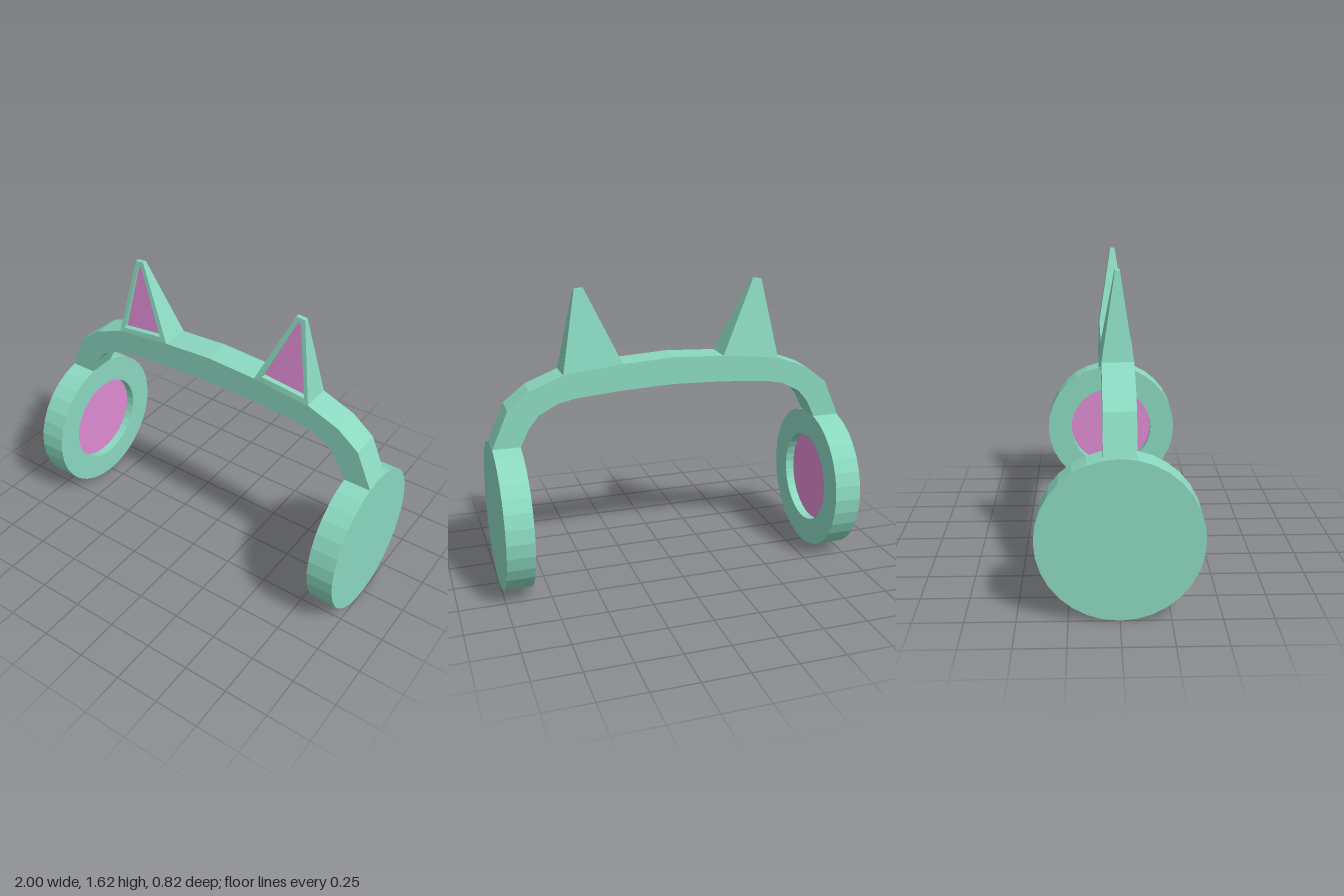
import * as THREE from 'three';

const mint = new THREE.MeshStandardMaterial({ name: 'mint', color: 0x8ad8bf });
const pink = new THREE.MeshStandardMaterial({ name: 'pink', color: 0xde8cd2 });

// Faceted copy of a geometry
function flat(geometry) {
  const g = geometry.index ? geometry.toNonIndexed() : geometry;
  g.computeVertexNormals();
  return g;
}

function addMesh(parent, name, geometry, material) {
  const mesh = new THREE.Mesh(geometry, material);
  mesh.name = name;
  parent.add(mesh);
  return mesh;
}

// Geometry from four-cornered faces (counter-clockwise), mirrored in x when side is -1
function quads(faces, side) {
  const pos = [];
  for (const face of faces) {
    const [a, b, c, d] = side > 0 ? face : [...face].reverse();
    for (const p of [a, b, c, a, c, d]) pos.push(p[0] * side, p[1], p[2]);
  }
  const g = new THREE.BufferGeometry();
  g.setAttribute('position', new THREE.Float32BufferAttribute(pos, 3));
  g.computeVertexNormals();
  return g;
}

// Faces joining two matching four-cornered loops
const bridge = (a, b) => a.map((p, i) => {
  const j = (i + 1) % 4;
  return [p, b[i], b[j], a[j]];
});

// Arched band, extruded from its mirrored outline
function bandGeometry() {
  const outer = [[1, 0.815], [0.91, 1.02], [0.79, 1.115], [0.61, 1.185], [0.285, 1.22], [0, 1.235]];
  const inner = [[0, 1.085], [0.275, 1.075], [0.54, 1.055], [0.64, 1.035], [0.745, 0.98], [0.80, 0.915], [0.85, 0.815]];
  const flip = (list) => list.map(([x, y]) => [-x, y]).reverse();
  const outline = [...outer, ...flip(outer).slice(1), ...flip(inner), ...inner.slice(1)];
  const shape = new THREE.Shape(outline.map(([x, y]) => new THREE.Vector2(x, y)));
  const g = new THREE.ExtrudeGeometry(shape, { depth: 0.16, bevelEnabled: false });
  g.translate(0, 0, -0.08);
  return flat(g);
}

// Pointed ear with a recessed pink panel in its front
function makeEar(side) {
  const ear = new THREE.Group();
  ear.name = side > 0 ? 'leftEar' : 'rightEar';
  const front = [[0.285, 1.22, 0.08], [0.61, 1.185, 0.08], [0.525, 1.62, 0.012], [0.475, 1.625, 0.012]];
  const back = front.map(([x, y, z]) => [x, y, -z]);
  const rim = [[0.33, 1.245, 0.076], [0.583, 1.215, 0.075], [0.505, 1.595, 0.016], [0.487, 1.597, 0.016]];
  const floor = rim.map(([x, y, z], i) => [x, y, z - (i < 2 ? 0.03 : 0.01)]);
  const shell = [
    [...back].reverse(),
    ...bridge(back, front).map((f) => [f[0], f[3], f[2], f[1]]),
    ...bridge(front, rim).map((f) => [f[0], f[3], f[2], f[1]]),
    ...bridge(rim, floor).map((f) => [f[0], f[3], f[2], f[1]]),
  ];
  addMesh(ear, 'earShell', quads(shell, side), mint);
  addMesh(ear, 'innerEar', quads([floor], side), pink);
  return ear;
}

// Round ear cup with a recessed pad on its inner face
function makeCup(side) {
  const cup = new THREE.Group();
  cup.name = side > 0 ? 'leftCup' : 'rightCup';
  const profile = [[0.26, 0.05], [0.26, 0], [0.41, 0], [0.41, 0.15], [0, 0.15]]
    .map(([r, h]) => new THREE.Vector2(r, h));
  const shell = addMesh(cup, 'cupShell', flat(new THREE.LatheGeometry(profile, 32)), mint);
  shell.rotation.z = -side * Math.PI / 2;
  shell.position.x = side * 0.85;
  const pad = addMesh(cup, 'cupPad', new THREE.CircleGeometry(0.26, 32), pink);
  pad.rotation.y = -side * Math.PI / 2;
  pad.position.x = side * 0.90;
  cup.position.y = 0.41;
  return cup;
}

export function createModel() {
  const model = new THREE.Group();
  model.name = 'catEarHeadset';
  addMesh(model, 'headband', bandGeometry(), mint);
  for (const side of [1, -1]) model.add(makeEar(side), makeCup(side));
  return model;
}
